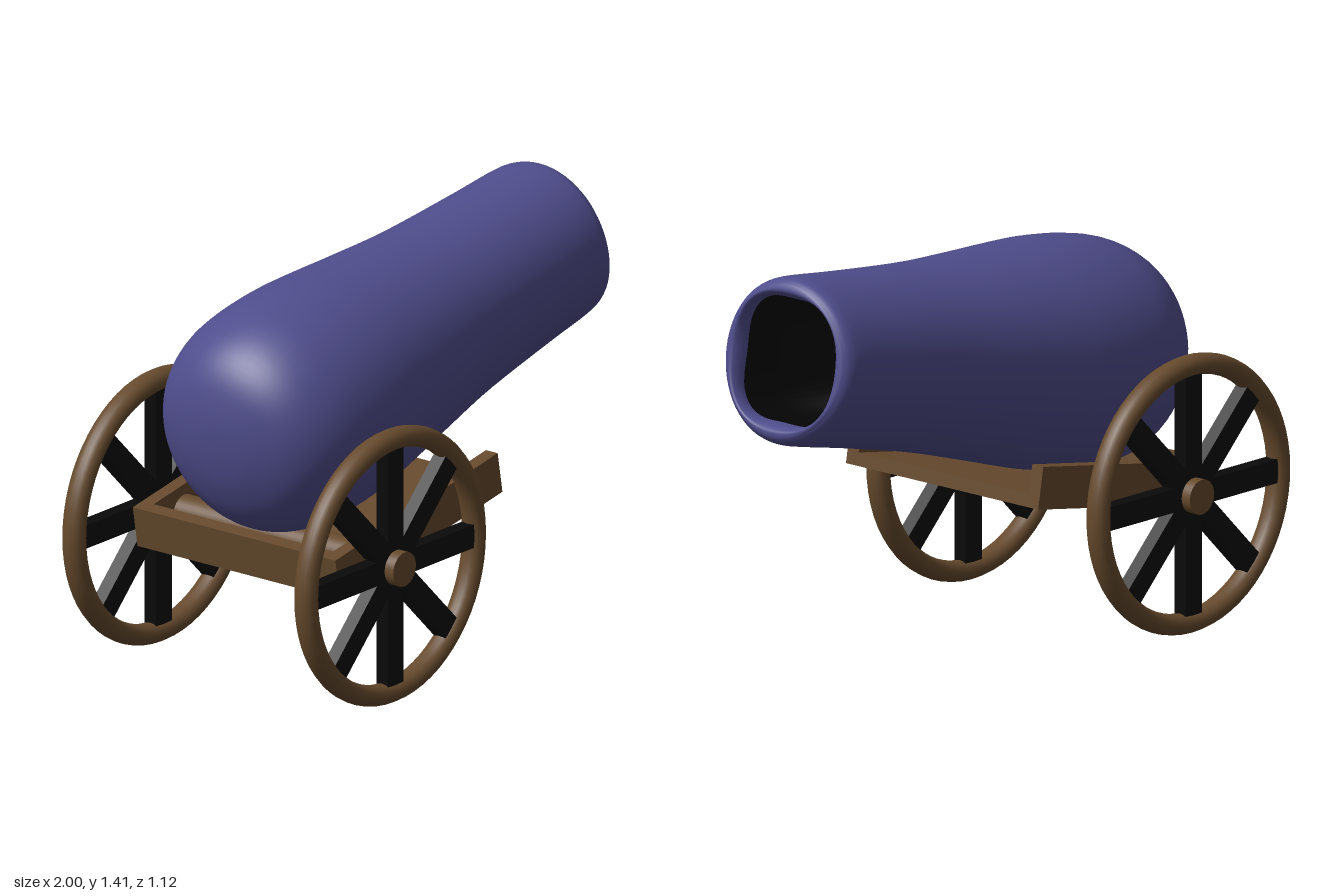
import * as THREE from 'three';
import { mergeVertices } from 'three/addons/utils/BufferGeometryUtils.js';

const TILT = THREE.MathUtils.degToRad(10);
const material = (color, side = THREE.FrontSide) =>
  new THREE.MeshStandardMaterial({ color, side, roughness: 0.9 });
const purple = material(0x4f4d8c);
const wood = material(0x664a2d);
const black = material(0x0a0a0a);
const boreBlack = material(0x050505, THREE.DoubleSide);

function add(parent, name, geometry, mat, x = 0, y = 0, z = 0) {
  const mesh = new THREE.Mesh(geometry, mat);
  mesh.name = name;
  mesh.position.set(x, y, z);
  parent.add(mesh);
  return mesh;
}

// Turned shape; squareness(j) in 0..1 pushes ring j towards a rounded square
function turned(points, squareness) {
  const geometry = new THREE.LatheGeometry(points, 64);
  const pos = geometry.attributes.position;
  for (let i = 0; i < pos.count; i++) {
    const x = pos.getX(i), y = pos.getY(i), z = pos.getZ(i);
    const angle = Math.atan2(z, x);
    const grow = 1 + 0.16 * squareness(i % points.length) * Math.sin(2 * angle) ** 2;
    // the muzzle edge dips a little at its sides
    const dip = 0.018 * Math.sin(angle) ** 2 * THREE.MathUtils.smoothstep(y, -0.1, 0);
    pos.setXYZ(i, x * grow, y - dip, z * grow);
  }
  geometry.deleteAttribute('uv');
  geometry.deleteAttribute('normal');
  const merged = mergeVertices(geometry, 1e-5);
  merged.computeVertexNormals();
  return merged;
}

function createBarrel() {
  const barrel = new THREE.Group();
  barrel.name = 'barrel';
  const vectors = (list) => list.map(([r, u]) => new THREE.Vector2(r, u));

  // Outer wall from the rounded breech to the muzzle (radius, distance along axis)
  const outer = new THREE.SplineCurve(vectors([
    [0, -1.785], [0.12, -1.775], [0.25, -1.73], [0.335, -1.65], [0.383, -1.53],
    [0.396, -1.38], [0.39, -1.22], [0.374, -1.08], [0.35, -0.9], [0.318, -0.63],
    [0.297, -0.3], [0.287, -0.08], [0.278, -0.015], [0.258, 0.01],
  ])).getPoints(60);
  const lip = new THREE.SplineCurve(vectors([
    [0.258, 0.01], [0.235, 0.014], [0.217, -0.01], [0.208, -0.045],
  ])).getPoints(9).slice(1);
  const crest = outer.length - 1;
  const shell = [...outer, ...lip];
  shell[0].x = 0;
  add(barrel, 'barrelShell',
    turned(shell, (j) => Math.max(0, (j - crest) / lip.length)), purple);

  // Dark bore, closed at its inner end
  const bore = vectors([[0.208, -0.045], [0.205, -0.2], [0.2, -0.5], [0, -0.5]]);
  add(barrel, 'bore', turned(bore, () => 1), boreBlack);

  barrel.rotation.z = TILT - Math.PI / 2;
  barrel.position.set(0.945, 1.145, -0.01);
  return barrel;
}

function createCarriage() {
  const carriage = new THREE.Group();
  carriage.name = 'carriage';
  const size = 0.87, wall = 0.05, height = 0.145;
  add(carriage, 'floor', new THREE.BoxGeometry(size, 0.045, size), wood, 0, 0.0225, 0);
  for (const s of [1, -1]) {
    add(carriage, s > 0 ? 'frontSideBoard' : 'backSideBoard',
      new THREE.BoxGeometry(size, height, wall), wood, 0, height / 2, s * (size - wall) / 2);
  }
  add(carriage, 'rearBoard', new THREE.BoxGeometry(wall, height, size - 2 * wall), wood,
    (wall - size) / 2, height / 2, 0);
  carriage.rotation.z = TILT;
  carriage.position.set(-0.28, 0.475, 0);
  return carriage;
}

function createWheel() {
  const wheel = new THREE.Group();
  wheel.name = 'wheel';
  const rim = add(wheel, 'rim', new THREE.TorusGeometry(0.443, 0.036, 16, 64), wood);
  rim.scale.z = 1.2;
  // Four full-width bars make eight spokes
  for (let i = 0; i < 4; i++) {
    const spoke = add(wheel, 'spokeBar', new THREE.BoxGeometry(0.84, 0.082, 0.05), black);
    spoke.rotation.z = i * Math.PI / 4;
  }
  return wheel;
}

export function createModel() {
  const model = new THREE.Group();
  model.name = 'cannon';
  model.add(createBarrel(), createCarriage());

  const running = new THREE.Group();
  running.name = 'wheelsAndAxle';
  running.position.set(-0.522, 0.482, 0);
  const axle = add(running, 'axle', new THREE.CylinderGeometry(0.06, 0.06, 1.12, 32), wood);
  axle.rotation.x = Math.PI / 2;
  for (const s of [1, -1]) {
    const wheel = createWheel();
    wheel.position.z = s * 0.498;
    running.add(wheel);
  }
  model.add(running);
  return model;
}
